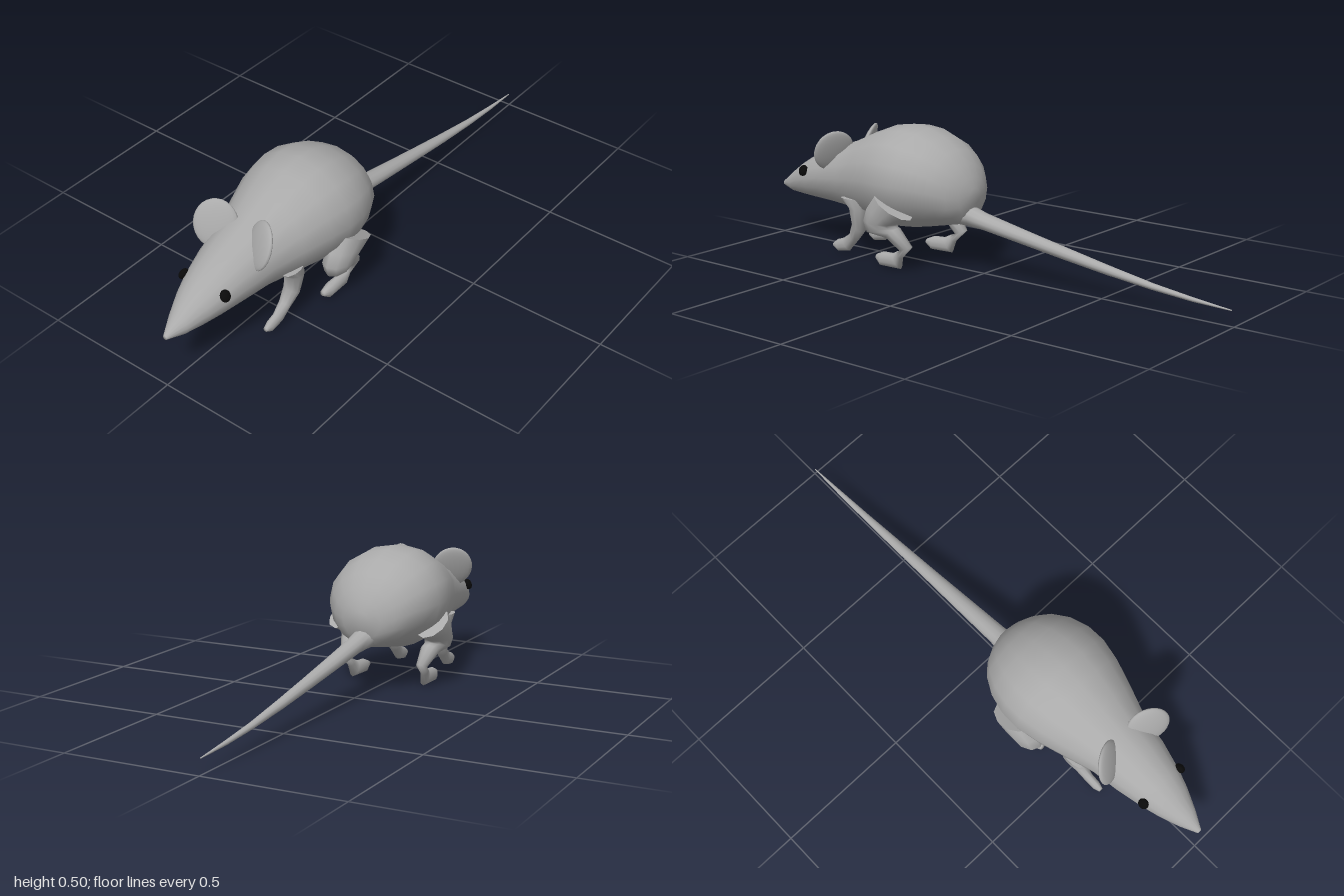
import * as THREE from 'three';

// Skin through elliptical rings. Each ring is [zA, yA, zB, yB, x, halfWidth]:
// A and B are opposite edge points in the side profile.
function loft(rings, sides, side = 1) {
  const pos = [], index = [];
  for (const [zA, yA, zB, yB, x, w] of rings) {
    for (let i = 0; i < sides; i++) {
      const t = (i / sides) * Math.PI * 2, c = Math.cos(t) / 2;
      pos.push(x * side + w * Math.sin(t), (yA + yB) / 2 + (yA - yB) * c, (zA + zB) / 2 + (zA - zB) * c);
    }
  }
  const last = rings.length - 1, centre = rings.length * sides;
  for (const r of [rings[0], rings[last]]) pos.push(r[4] * side, (r[1] + r[3]) / 2, (r[0] + r[2]) / 2);
  for (let i = 0; i < sides; i++) {
    const j = (i + 1) % sides;
    for (let k = 0; k < last; k++) {
      const a = k * sides + i, b = k * sides + j;
      index.push(a, b, a + sides, b, b + sides, a + sides);
    }
    index.push(centre, j, i, centre + 1, last * sides + i, last * sides + j);
  }
  const g = new THREE.BufferGeometry();
  g.setAttribute('position', new THREE.Float32BufferAttribute(pos, 3));
  g.setIndex(index);
  g.computeVertexNormals();
  return g;
}

export function createModel() {
  const fur = new THREE.MeshStandardMaterial({ name: 'grey fur', color: 0xaaaaaa });
  const black = new THREE.MeshStandardMaterial({ name: 'eye black', color: 0x0a0a0a });
  const model = new THREE.Group();
  model.name = 'mouse';
  const add = (name, geometry, material = fur) => {
    const m = new THREE.Mesh(geometry, material);
    m.name = name;
    model.add(m);
    return m;
  };

  // Head and body, nose to rump: z, top, bottom, half width
  const body = [
    [0.99, 0.207, 0.19, 0.008], [0.93, 0.252, 0.175, 0.04], [0.86, 0.3, 0.172, 0.07],
    [0.8, 0.335, 0.17, 0.09], [0.7, 0.378, 0.168, 0.115], [0.6, 0.41, 0.16, 0.13],
    [0.5, 0.455, 0.148, 0.165], [0.4, 0.493, 0.135, 0.198], [0.32, 0.505, 0.128, 0.215],
    [0.25, 0.497, 0.135, 0.214], [0.18, 0.472, 0.15, 0.195], [0.12, 0.435, 0.163, 0.16],
    [0.08, 0.39, 0.175, 0.12], [0.055, 0.345, 0.2, 0.075], [0.042, 0.305, 0.25, 0.03],
  ];
  add('body', loft(body.map(([z, top, bottom, w]) => [z, top, z, bottom, 0, w]), 16));

  // Tail: z, top, bottom, half width
  const tail = [
    [0.14, 0.27, 0.168, 0.06], [0.05, 0.237, 0.166, 0.04], [0, 0.222, 0.163, 0.036],
    [-0.18, 0.186, 0.137, 0.03], [-0.35, 0.154, 0.112, 0.024], [-0.52, 0.122, 0.089, 0.019],
    [-0.7, 0.091, 0.069, 0.013], [-0.85, 0.072, 0.057, 0.008], [-0.99, 0.057, 0.053, 0.002],
  ];
  add('tail', loft(tail.map(([z, top, bottom, w]) => [z, top, z, bottom, 0, w]), 12));

  // Legs from shoulder or hip to toe; the doubled first ring keeps its rim sharp
  const frontLeg = [
    [0.47, 0.225, 0.565, 0.225, 0.128, 0.024], [0.47, 0.225, 0.565, 0.225, 0.128, 0.024],
    [0.462, 0.185, 0.53, 0.19, 0.115, 0.034], [0.478, 0.1, 0.526, 0.13, 0.105, 0.03],
    [0.52, 0.055, 0.547, 0.085, 0.1, 0.022], [0.555, 0.015, 0.585, 0.06, 0.1, 0.016],
    [0.61, 0.005, 0.615, 0.05, 0.1, 0.015], [0.636, 0.02, 0.634, 0.036, 0.1, 0.008],
  ];
  const hindLeg = [
    [0.19, 0.2, 0.345, 0.278, 0.178, 0.054], [0.19, 0.2, 0.345, 0.278, 0.178, 0.054],
    [0.225, 0.188, 0.385, 0.225, 0.178, 0.052], [0.265, 0.172, 0.402, 0.175, 0.175, 0.05],
    [0.267, 0.165, 0.39, 0.13, 0.172, 0.045], [0.262, 0.158, 0.3, 0.118, 0.165, 0.036],
    [0.205, 0.095, 0.255, 0.076, 0.155, 0.02], [0.255, 0.045, 0.275, 0.07, 0.15, 0.016],
    [0.265, 0.004, 0.3, 0.058, 0.145, 0.018], [0.36, 0.002, 0.345, 0.056, 0.143, 0.02],
    [0.385, 0.022, 0.38, 0.042, 0.14, 0.01],
  ];

  const ball = new THREE.SphereGeometry(1, 20, 14);
  for (const [s, label] of [[1, 'left'], [-1, 'right']]) {
    add(label + 'FrontLeg', loft(frontLeg, 10, s));
    add(label + 'HindLeg', loft(hindLeg, 10, s));

    // Thin round ear, leaning back and turned inward
    const ear = add(label + 'Ear', ball);
    ear.position.set(0.093 * s, 0.382, 0.633);
    ear.rotation.set(-0.38, -0.5 * s, 0, 'YXZ');
    ear.scale.set(0.076, 0.084, 0.017);

    // Eye lying on the cheek
    const eye = add(label + 'Eye', ball, black);
    eye.position.set(0.088 * s, 0.285, 0.8);
    eye.rotation.set(0, 0, 0.45 * s);
    eye.scale.set(0.014, 0.021, 0.019);
  }
  return model;
}
